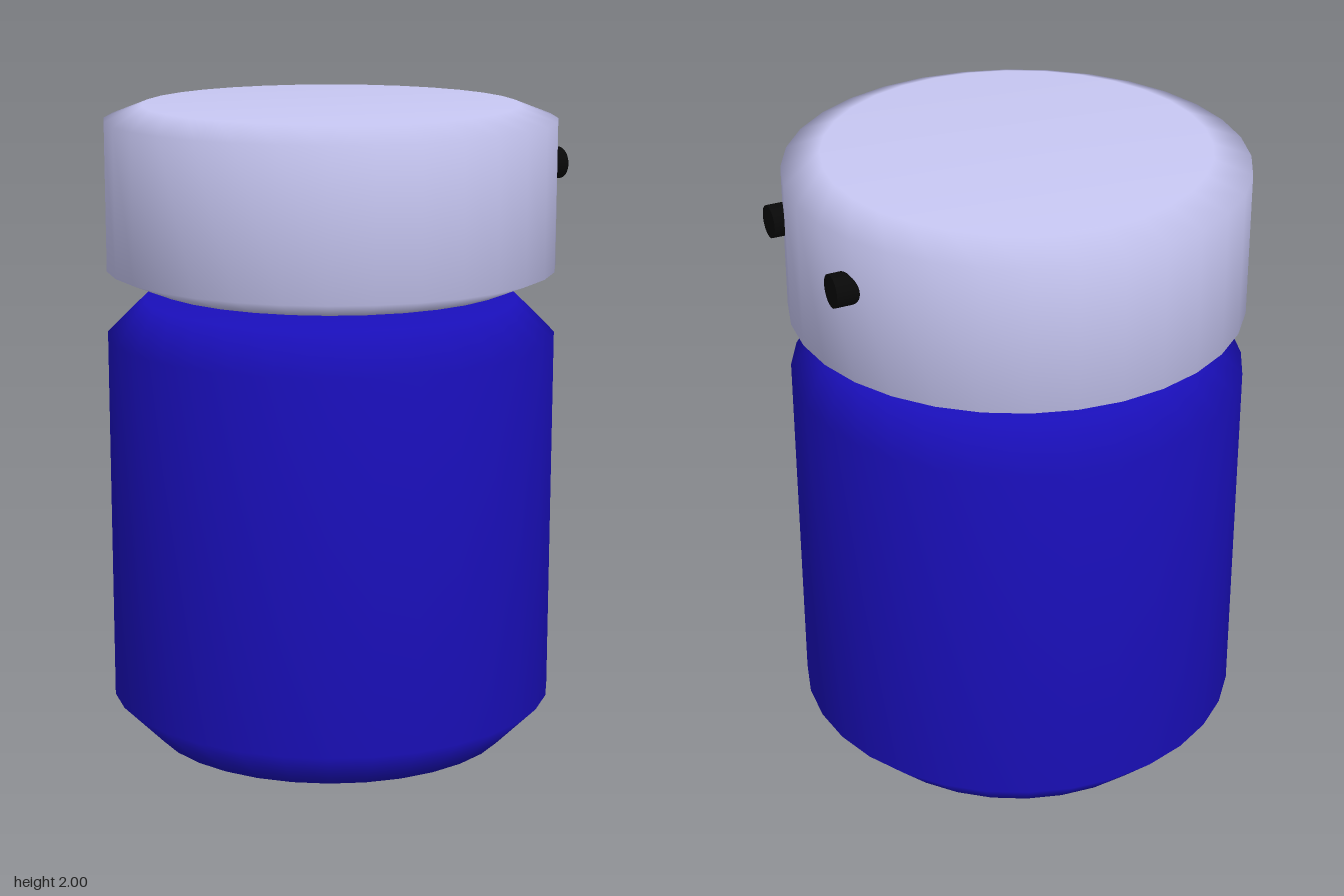
import * as THREE from 'three';

const SIDES = 32;

// Smooth-shaded solid of revolution from a [radius, height] profile, bottom to top
function turned(name, color, profile) {
  const points = profile.map(([r, y]) => new THREE.Vector2(r, y));
  const mesh = new THREE.Mesh(
    new THREE.LatheGeometry(points, SIDES),
    new THREE.MeshStandardMaterial({ color })
  );
  mesh.name = name;
  return mesh;
}

export function createModel() {
  const model = new THREE.Group();
  model.name = 'model';

  // Drum-shaped body with chamfered rims
  model.add(turned('body', 0x1a0fbb, [
    [0, 0], [0.572, 0], [0.7, 0.13], [0.7, 1.285], [0.583, 1.4], [0, 1.4],
  ]));

  // Flatter head floating just above the body
  model.add(turned('head', 0xc8c8f4, [
    [0, 1.445], [0.57, 1.445], [0.7, 1.498], [0.7, 1.955], [0.583, 2], [0, 2],
  ]));

  // Two short eye pegs facing +x
  const eyeGeometry = new THREE.CylinderGeometry(0.05, 0.05, 0.12, SIDES).rotateZ(-Math.PI / 2);
  const eyeMaterial = new THREE.MeshStandardMaterial({ color: 0x080808 });
  for (const [name, side] of [['frontEye', 1], ['backEye', -1]]) {
    const eye = new THREE.Mesh(eyeGeometry, eyeMaterial);
    eye.name = name;
    eye.position.set(0.64, 1.795, side * 0.246);
    model.add(eye);
  }

  return model;
}
